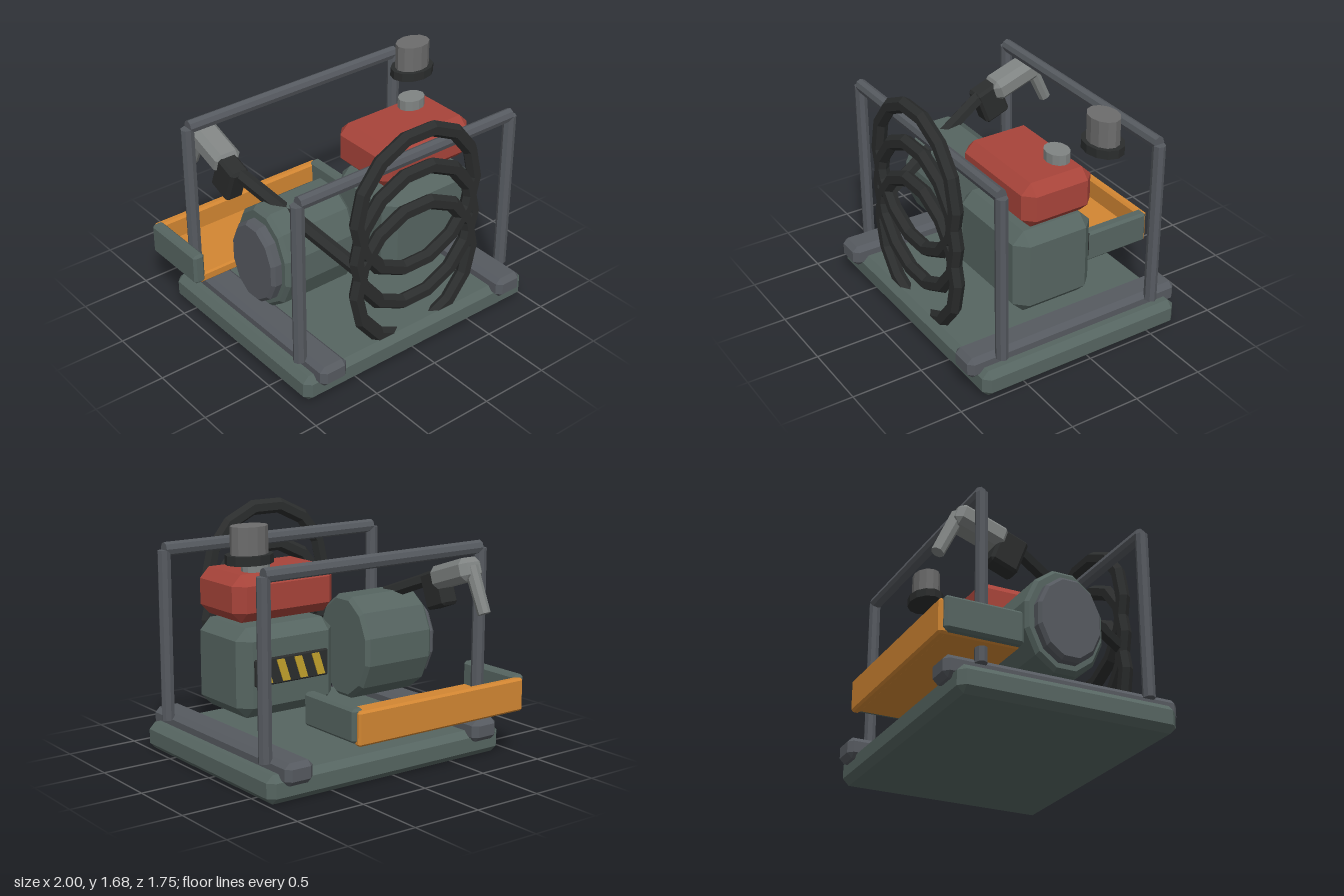
import * as THREE from 'three';
import { ConvexGeometry } from 'three/addons/geometries/ConvexGeometry.js';

const paint = (color) => new THREE.MeshStandardMaterial({ color, flatShading: true });
const green = paint(0x566561), frameGrey = paint(0x565a60), red = paint(0xa8443a);
const orange = paint(0xd28632), dark = paint(0x2b2d2d), steel = paint(0x808483);
const stackGrey = paint(0x6c6c6c), yellow = paint(0xc4a22c);

export function createModel() {
  const model = new THREE.Group();

  function add(name, geometry, material, x = 0, y = 0, z = 0) {
    const mesh = new THREE.Mesh(geometry, material);
    mesh.name = name;
    mesh.position.set(x, y, z);
    model.add(mesh);
    return mesh;
  }

  // Box with every edge chamfered by c, given by its min and max corners
  function chamferBox(name, material, [x0, y0, z0], [x1, y1, z1], c) {
    const h = [(x1 - x0) / 2, (y1 - y0) / 2, (z1 - z0) / 2];
    const points = [];
    for (const sx of [-1, 1]) for (const sy of [-1, 1]) for (const sz of [-1, 1]) {
      for (let full = 0; full < 3; full++) {
        const d = h.map((v, i) => (i === full ? v : v - c));
        points.push(new THREE.Vector3(sx * d[0], sy * d[1], sz * d[2]));
      }
    }
    return add(name, new ConvexGeometry(points), material, (x0 + x1) / 2, (y0 + y1) / 2, (z0 + z1) / 2);
  }

  // Straight round bar between two points
  function rod(name, material, a, b, r, sides, r2 = r) {
    const from = new THREE.Vector3(...a), to = new THREE.Vector3(...b);
    const dir = to.clone().sub(from);
    const mesh = add(name, new THREE.CylinderGeometry(r2, r, dir.length(), sides), material);
    mesh.position.copy(from).add(to).multiplyScalar(0.5);
    mesh.quaternion.setFromUnitVectors(new THREE.Vector3(0, 1, 0), dir.normalize());
    return mesh;
  }

  // Upright oval cylinder from y0 to y1
  function ovalCan(name, material, x, z, rx, rz, y0, y1) {
    const geometry = new THREE.CylinderGeometry(1, 1, y1 - y0, 12).scale(rx, 1, rz);
    return add(name, geometry, material, x, (y0 + y1) / 2, z);
  }

  // Base and skid rails
  chamferBox('base', green, [-0.925, 0, -0.715], [1, 0.19, 0.815], 0.045);
  chamferBox('rightSkid', frameGrey, [-0.84, 0.12, -0.775], [-0.63, 0.27, 0.875], 0.035);
  chamferBox('leftSkid', frameGrey, [0.7, 0.12, -0.775], [0.91, 0.27, 0.875], 0.035);

  // Roll frame: two hoops of posts and a top bar
  for (const [end, z] of [['front', 0.645], ['back', -0.543]]) {
    for (const [side, x] of [['right', -0.85], ['left', 0.92]]) {
      const post = new THREE.CylinderGeometry(0.048, 0.048, 1.18, 8).scale(1, 1, 0.85);
      add(`${end}${side === 'left' ? 'Left' : 'Right'}Post`, post, frameGrey, x, 0.82, z);
    }
    const bar = new THREE.CylinderGeometry(0.048, 0.048, 1.765, 8).rotateZ(Math.PI / 2).scale(1, 1, 0.85);
    add(`${end}TopBar`, bar, frameGrey, 0.0375, 1.417, z);
  }

  // Engine block, fuel tank and cap
  chamferBox('engineBlock', green, [0.055, 0.375, -0.145], [0.82, 0.98, 0.445], 0.08);
  chamferBox('fuelTank', red, [0.04, 1.015, -0.125], [0.835, 1.33, 0.4], 0.07);
  ovalCan('fuelCap', steel, 0.6, 0.02, 0.1, 0.08, 1.3, 1.4);

  // Exhaust stack
  ovalCan('exhaustFlange', dark, 0.79, -0.195, 0.165, 0.127, 1.43, 1.49);
  ovalCan('exhaustStack', stackGrey, 0.79, -0.195, 0.13, 0.097, 1.49, 1.67);

  // Pump drum with bevelled ends, and its end cover
  const drumProfile = [[0, -0.29], [0.345, -0.29], [0.373, -0.262], [0.373, 0.262], [0.345, 0.29], [0, 0.29]];
  const lathe = (profile) => new THREE.LatheGeometry(profile.map((p) => new THREE.Vector2(...p)), 12, Math.PI / 12)
    .rotateZ(Math.PI / 2).scale(1, 1, 0.78);
  add('pumpDrum', lathe(drumProfile), green, -0.46, 0.695, 0.105);
  add('drumCover', lathe([[0, -0.04], [0.3, -0.04], [0.3, 0.015], [0.275, 0.04], [0, 0.04]]), frameGrey, -0.785, 0.685, 0.105);

  // Warning plate with slanted stripes on the back of the engine
  chamferBox('warningPlate', dark, [0.15, 0.6, -0.165], [0.73, 0.78, -0.135], 0.008);
  for (let i = 0; i < 4; i++) {
    const x = 0.18 + i * 0.14;
    const stripe = new THREE.Shape([[x, 0.615], [x + 0.06, 0.615], [x + 0.11, 0.765], [x + 0.05, 0.765]]
      .map((p) => new THREE.Vector2(...p)));
    add('warningStripe', new THREE.ExtrudeGeometry(stripe, { depth: 0.015, bevelEnabled: false }), yellow, 0, 0, -0.172);
  }

  // Coiled hose hung at the front
  for (const y of [1.14, 0.87, 0.6]) {
    add('hoseCoil', new THREE.TorusGeometry(0.495, 0.055, 6, 14).scale(1, 1, 0.87), dark, 0.037, y, 0.73);
  }

  // Hose run and dispensing nozzle
  rod('hoseRun', dark, [-0.42, 0.78, 0.71], [-0.685, 1.16, -0.2], 0.05, 6);
  const grip = chamferBox('nozzleGrip', dark, [-0.77, 0.975, -0.395], [-0.63, 1.235, -0.195], 0.02);
  grip.rotation.x = 0.36;
  const body = chamferBox('nozzleBody', steel, [-0.785, 1.165, -0.675], [-0.59, 1.325, -0.295], 0.04);
  body.rotation.x = 0.33;
  rod('nozzleSpout', steel, [-0.69, 1.31, -0.63], [-0.69, 1.01, -0.77], 0.05, 8, 0.045);

  // Tool tray: floor, back wall and end panels
  chamferBox('trayFloor', orange, [-0.95, 0.33, -0.85], [0.42, 0.4, -0.33], 0.012);
  chamferBox('trayBackWall', orange, [-0.97, 0.32, -0.877], [0.435, 0.55, -0.815], 0.015);
  chamferBox('trayRightPanel', green, [-1, 0.34, -0.85], [-0.915, 0.565, -0.32], 0.018);
  chamferBox('trayLeftPanel', green, [0.38, 0.34, -0.85], [0.465, 0.565, -0.32], 0.018);

  return model;
}
